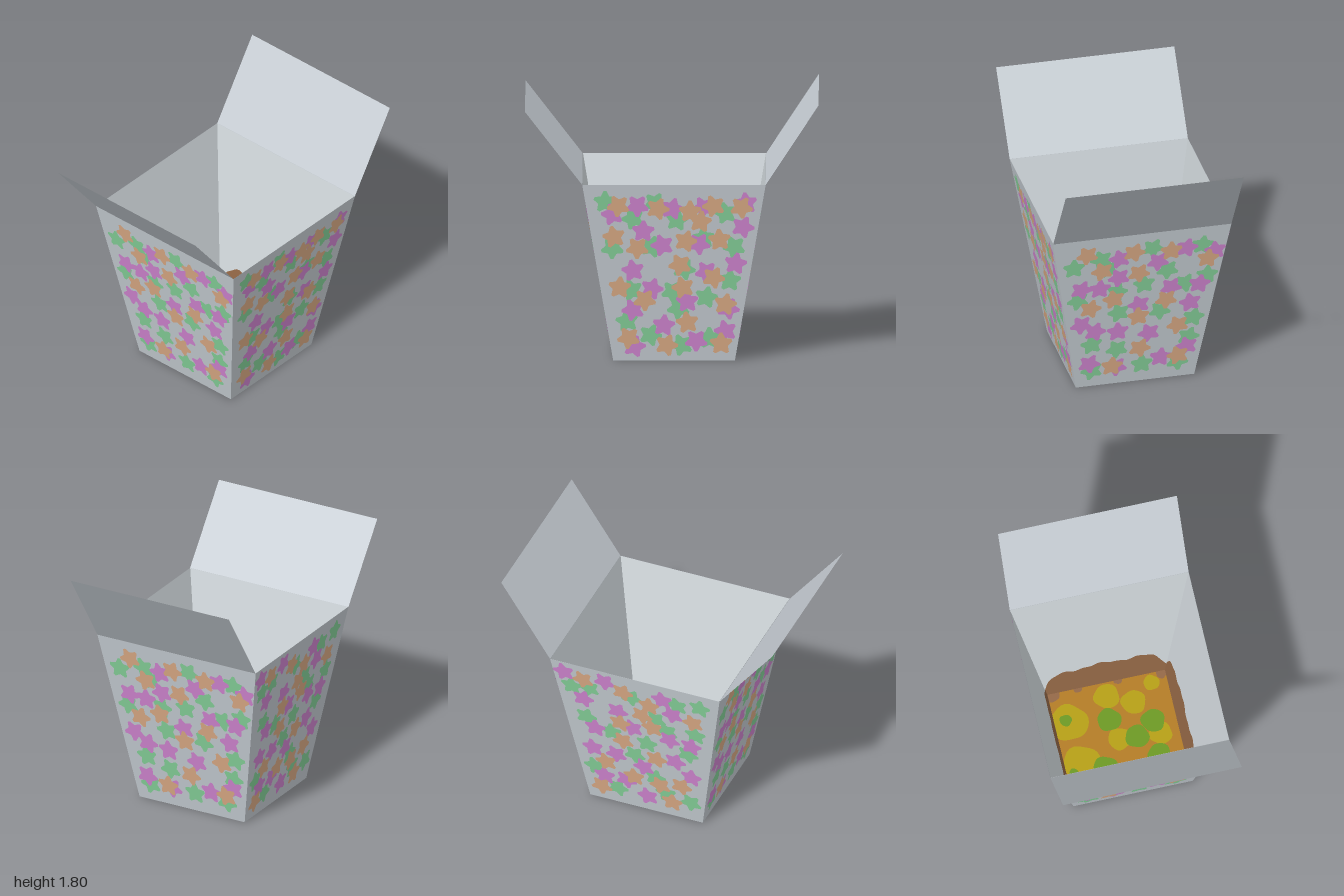
import * as THREE from 'three';
import { mergeGeometries } from 'three/addons/utils/BufferGeometryUtils.js';

const H = 1.25, BOT = 0.415, TOP = 0.625;
const half = (y) => BOT + (TOP - BOT) * y / H; // half width of the box at height y

function material(name, color) {
  const m = new THREE.MeshStandardMaterial({ color, side: THREE.DoubleSide });
  m.name = name;
  return m;
}

function mesh(name, geometry, mat) {
  const m = new THREE.Mesh(geometry, mat);
  m.name = name;
  return m;
}

// flat four-cornered sheet
function quad(a, b, c, d) {
  const g = new THREE.BufferGeometry();
  g.setAttribute('position', new THREE.Float32BufferAttribute([...a, ...b, ...c, ...d], 3));
  g.setIndex([0, 1, 2, 0, 2, 3]);
  g.computeVertexNormals();
  return g;
}

// lean a flat drawing (u, y) onto the sloping front wall
function ontoWall(points, offset) {
  const g = new THREE.ShapeGeometry(new THREE.Shape(points));
  const p = g.attributes.position;
  for (let i = 0; i < p.count; i++) {
    const y = p.getY(i), w = half(y);
    p.setXYZ(i, THREE.MathUtils.clamp(p.getX(i), -w, w), y, w + offset);
  }
  g.computeVertexNormals();
  return g;
}

function starPoints(u, y, turn) {
  const pts = [];
  for (let i = 0; i < 10; i++) {
    const a = turn + i * Math.PI / 5, r = i % 2 ? 0.049 : 0.079;
    // two close points blunt each tip
    for (const d of i % 2 ? [0] : [-0.12, 0.12]) {
      pts.push(new THREE.Vector2(u + r * Math.sin(a + d), y + r * Math.cos(a + d)));
    }
  }
  return pts;
}

// star centres (u, y) seen from outside each wall
const frontStars = {
  green: [-.47, 1.13, -.28, 1.01, -.13, 1.12, .02, 1, .35, 1.05, -.42, .8, -.15, .81, .2, .87, .41, .81, .07, .65,
    .38, .57, -.29, .5, -.01, .49, .22, .45, -.32, .28, .03, .37, -.16, .18, .24, .16, .05, .11],
  purple: [-.42, 1.04, -.25, 1.1, -.01, 1.08, .49, 1.12, .2, 1.09, .47, .95, -.21, .92, -.08, .82, .17, .83, .42, .69,
    -.28, .64, .22, .63, -.15, .51, .09, .42, -.28, .36, .37, .37, -.07, .25, .35, .21, .15, .14, -.27, .1],
  orange: [-.38, 1.1, -.11, 1.08, .11, 1.06, .27, 1.1, .46, 1.09, .18, .99, -.41, .88, -.25, .8, .08, .85, .31, .86,
    .04, .68, .27, .59, -.37, .52, .06, .52, -.2, .43, .35, .4, .09, .27, -.31, .16, -.05, .11, .32, .12],
};
const sideStars = {
  green: [-.47, 1.02, -.28, 1.07, .08, 1.12, .43, 1.1, -.23, .99, .19, .92, -.16, .78, .03, .82, -.43, .74, .32, .79,
    .47, .84, -.14, .6, .15, .58, .39, .49, -.32, .35, -.14, .29, .36, .33, .04, .14, -.31, .13, .29, .13],
  purple: [-.15, 1.06, .12, 1, .32, 1.09, .52, 1.04, -.15, .9, -.41, .83, -.28, .82, 0, .65, .22, .77, .42, .77,
    .36, .62, -.4, .53, -.3, .46, -.14, .44, .08, .4, -.33, .19, .17, .18, .35, .25, -.14, .14],
  orange: [-.38, 1.12, -.05, 1.1, .21, 1.08, -.27, .97, -.01, .92, .47, .98, -.18, .72, .19, .67, -.34, .66, 0, .55,
    .28, .44, .02, .28, -.17, .15, .29, .18],
};
const backStars = {
  green: [-.48, 1.04, -.35, 1.06, -.04, 1.07, .47, 1.13, .3, 1.1, .13, .91, -.39, .77, -.21, .68, .21, .82, .35, .64,
    .05, .65, -.36, .3, -.05, .51, .09, .33, .16, .2, .34, .17, -.2, .14, .42, .85],
  purple: [-.53, 1.16, -.23, 1.16, -.4, .94, .19, 1.12, .26, 1, -.15, .9, -.33, .68, -.05, .77, .22, .74, .38, .73,
    -.36, .48, -.19, .47, .25, .54, -.29, .23, .01, .41, -.13, .24, .36, .42, .02, .13],
  orange: [-.39, 1.13, -.1, 1.1, .09, 1.03, .41, .97, .03, .92, -.14, .79, .1, .82, -.13, .62, .11, .52, -.07, .29,
    .12, .27, .28, .31, .2, .13, -.27, .37, -.32, .12],
};
const walls = [
  { name: 'front', stars: frontStars, stain: 0.28 },
  { name: 'right', stars: sideStars, stain: 0.27 },
  { name: 'back', stars: backStars, stain: 0.23 },
  { name: 'left', stars: sideStars, stain: 0.31 },
];

// uneven round spots lying on the floor
function spots(list, y) {
  return mergeGeometries(list.map(([x, z, r], k) => {
    const pts = [];
    for (let i = 0; i < 28; i++) {
      const a = i / 28 * Math.PI * 2;
      const q = r * (1 + 0.05 * Math.sin(3 * a + k) + 0.03 * Math.sin(5 * a + 2 * k));
      const lim = (v) => THREE.MathUtils.clamp(v, -BOT, BOT);
      pts.push(new THREE.Vector2(lim(x + q * Math.cos(a)), lim(-z + q * Math.sin(a))));
    }
    return new THREE.ShapeGeometry(new THREE.Shape(pts)).rotateX(-Math.PI / 2).translate(0, y, 0);
  }));
}

export function createModel() {
  const card = material('grey card', 0xc6cdd3);
  const lining = material('pale lining', 0xd3dade);
  const starMats = {
    green: material('star green', 0x86d29a),
    purple: material('star purple', 0xd286d2),
    orange: material('star orange', 0xdcac86),
  };
  const brown = material('sauce brown', 0x946846);
  const amber = material('sauce amber', 0xb47c22);
  const yellow = material('sauce yellow', 0xb6a00e);
  const herb = material('herb green', 0x6c991f);

  const model = new THREE.Group();
  model.name = 'takeaway box';
  const box = new THREE.Group();
  box.name = 'open box';
  box.position.x = 0.015;
  model.add(box);

  // four sloping walls with star print outside, pale lining and a sauce stain inside
  walls.forEach(({ name, stars, stain }, k) => {
    const wall = new THREE.Group();
    wall.name = name + ' wall';
    wall.rotation.y = k * Math.PI / 2;
    const panel = (d) => quad([-BOT, 0, BOT - d], [BOT, 0, BOT - d], [TOP, H, TOP - d], [-TOP, H, TOP - d]);
    wall.add(mesh(name + ' panel', panel(0), card));
    wall.add(mesh(name + ' lining', panel(0.002), lining));

    Object.entries(stars).forEach(([colour, c], layer) => {
      const shapes = [];
      for (let i = 0; i < c.length; i += 2) {
        shapes.push(ontoWall(starPoints(c[i], c[i + 1], i * 1.7 + layer), 0.0015 + layer * 0.001));
      }
      wall.add(mesh(colour + ' stars', mergeGeometries(shapes), starMats[colour]));
    });

    // wavy upper edge that sinks towards the corners
    const outline = [new THREE.Vector2(-BOT, 0), new THREE.Vector2(BOT, 0)];
    for (let i = 0; i <= 40; i++) {
      const t = 1 - i / 20;
      const y = stain * (1 - 0.7 * Math.abs(t) ** 5) + 0.015 * Math.sin(t * 9 + k) + 0.008 * Math.sin(t * 23);
      outline.push(new THREE.Vector2(t * half(y), y));
    }
    wall.add(mesh(name + ' stain', ontoWall(outline, -0.005), brown));
    box.add(wall);
  });

  // floor
  const square = (r, y) => quad([-r, y, r], [r, y, r], [r, y, -r], [-r, y, -r]);
  box.add(mesh('floor', square(BOT, 0), card));
  box.add(mesh('floor sauce', square(BOT, 0.003), amber));
  box.add(mesh('brown patches', spots([[.4, -.38, .05], [.41, -.2, .03], [.41, .08, .03], [-.39, -.38, .06],
    [-.39, .18, .045], [.39, .38, .035]], 0.004), brown));
  box.add(mesh('yellow spots', spots([[-.13, -.29, .13], [.18, -.31, .13], [-.32, -.21, .08], [.31, -.02, .088],
    [.23, .15, .085], [-.3, .34, .11], [-.01, 0, .08], [.34, .3, .055], [-.32, .03, .09], [-.03, .28, .08]], 0.006), yellow));
  box.add(mesh('green spots', spots([[-.2, -.14, .088], [.14, -.04, .082], [-.02, .12, .082], [-.18, .24, .08],
    [.07, .25, .082], [.2, -.33, .042], [-.33, -.01, .048], [-.18, -.36, .03]], 0.008), herb));

  // two raised lid flaps
  box.add(mesh('right flap', quad([TOP, H, TOP], [TOP, H, -TOP], [0.985, 1.8, -TOP], [0.985, 1.8, TOP]), card));
  box.add(mesh('left flap', quad([-TOP, H, -TOP], [-TOP, H, TOP], [-1.015, 1.755, TOP], [-1.015, 1.755, -TOP]), card));
  return model;
}
